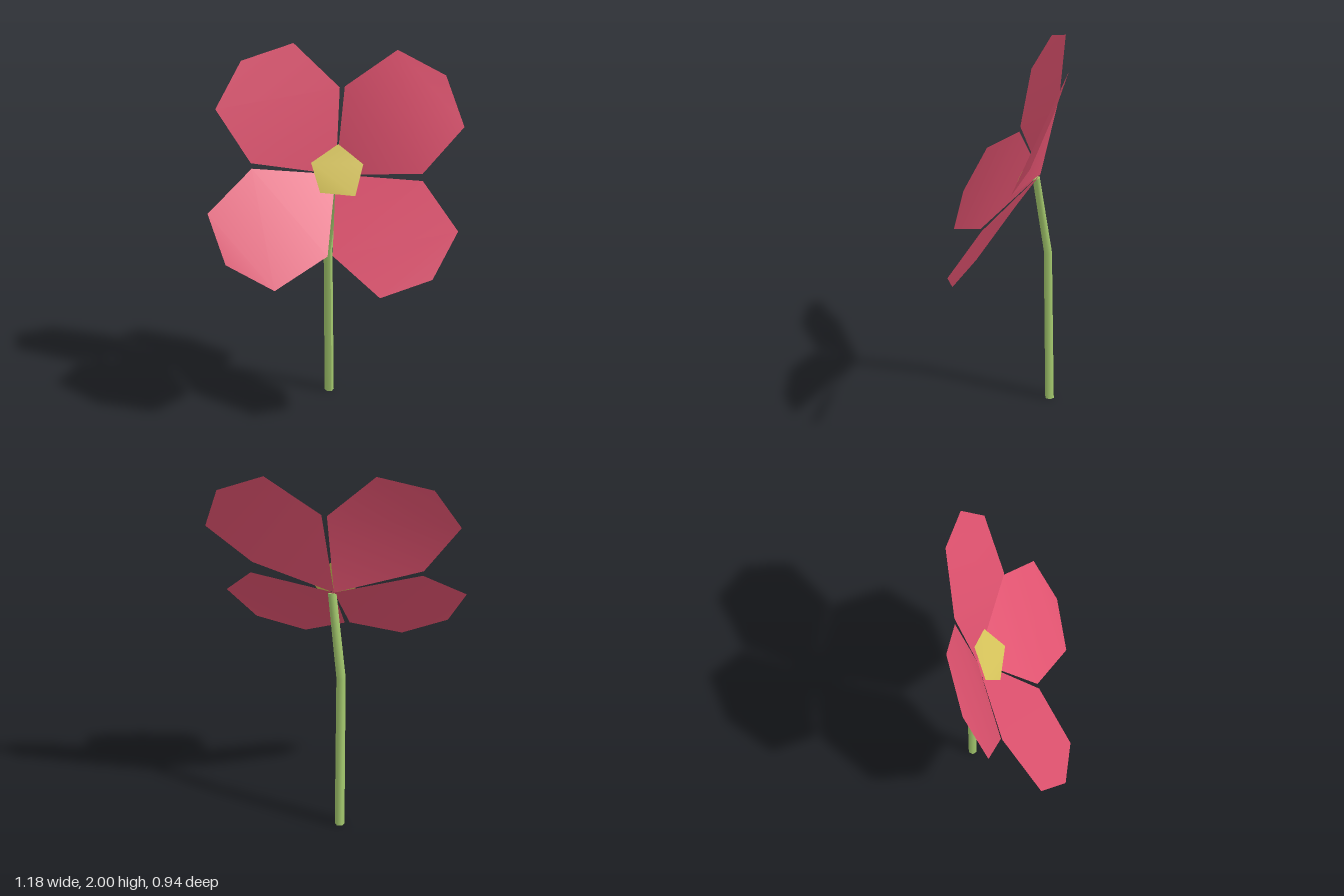
import * as THREE from 'three';

const petalPink = new THREE.MeshStandardMaterial({ color: 0xe0526f, side: THREE.DoubleSide });
petalPink.name = 'petalPink';
const centreYellow = new THREE.MeshStandardMaterial({ color: 0xd9c65c, side: THREE.DoubleSide });
centreYellow.name = 'centreYellow';
const stemGreen = new THREE.MeshStandardMaterial({ color: 0xa6cb6f });
stemGreen.name = 'stemGreen';

// Point where all the petals meet the stem
const HEART = [0.09, 1.342, -0.157];

// Smooth surface from a short list of corners and triangles
function surface(points, faces) {
  const g = new THREE.BufferGeometry();
  g.setAttribute('position', new THREE.Float32BufferAttribute(points.flat(), 3));
  g.setIndex(faces.flat());
  g.computeVertexNormals();
  return g;
}

// Rim of each petal, counter-clockwise as seen from the flower's face
const petals = {
  upperRightPetal: [[0.155, 1.78, -0.22], [-0.02, 2.0, -0.377], [-0.27, 1.925, -0.472], [-0.432, 1.705, -0.458], [-0.32, 1.44, -0.312]],
  upperLeftPetal: [[0.37, 1.407, 0.21], [0.59, 1.627, 0.254], [0.572, 1.86, 0.113], [0.41, 1.97, -0.08], [0.177, 1.785, -0.207]],
  lowerLeftPetal: [[-0.085, 1.02, 0.085], [0.02, 0.87, 0.357], [0.257, 0.955, 0.47], [0.43, 1.165, 0.44], [0.387, 1.36, 0.193]],
  lowerRightPetal: [[-0.32, 1.413, -0.305], [-0.594, 1.24, -0.276], [-0.588, 1.02, -0.115], [-0.41, 0.9, 0.057], [-0.11, 1.02, 0.077]],
};

export function createModel() {
  const flower = new THREE.Group();
  flower.name = 'flower';

  // Petals: pointed at the heart, folded gently back towards the tip
  for (const [name, rim] of Object.entries(petals)) {
    const g = surface([HEART, ...rim], [[0, 1, 5], [1, 2, 4], [1, 4, 5], [2, 3, 4]]);
    const petal = new THREE.Mesh(g, petalPink);
    petal.name = name;
    flower.add(petal);
  }

  // Five-sided centre disc
  const disc = [[-0.035, 1.42, -0.195], [-0.035, 1.285, -0.11], [0.097, 1.28, 0.015], [0.185, 1.415, -0.045], [0.105, 1.505, -0.157]];
  const centre = new THREE.Mesh(surface(disc, [[0, 1, 2], [0, 2, 3], [0, 3, 4]]), centreYellow);
  centre.name = 'flowerCentre';
  flower.add(centre);

  // Stem: six-sided cylinder whose rings follow a bent path, tilted with it
  const path = [[0.095, 0, -0.235, 0], [0.08, 0.89, -0.218, 0.1], [0.088, 1.328, -0.132, 0.22]];
  const stemGeometry = new THREE.CylinderGeometry(0.021, 0.026, 1, 6, 2);
  const p = stemGeometry.attributes.position;
  for (let i = 0; i < p.count; i++) {
    const [cx, cy, cz, tilt] = path[Math.round((p.getY(i) + 0.5) * 2)];
    const x = p.getX(i), z = p.getZ(i);
    p.setXYZ(i, cx + x, cy - z * tilt, cz + z);
  }
  stemGeometry.computeVertexNormals();
  const stem = new THREE.Mesh(stemGeometry, stemGreen);
  stem.name = 'stem';
  flower.add(stem);

  return flower;
}
